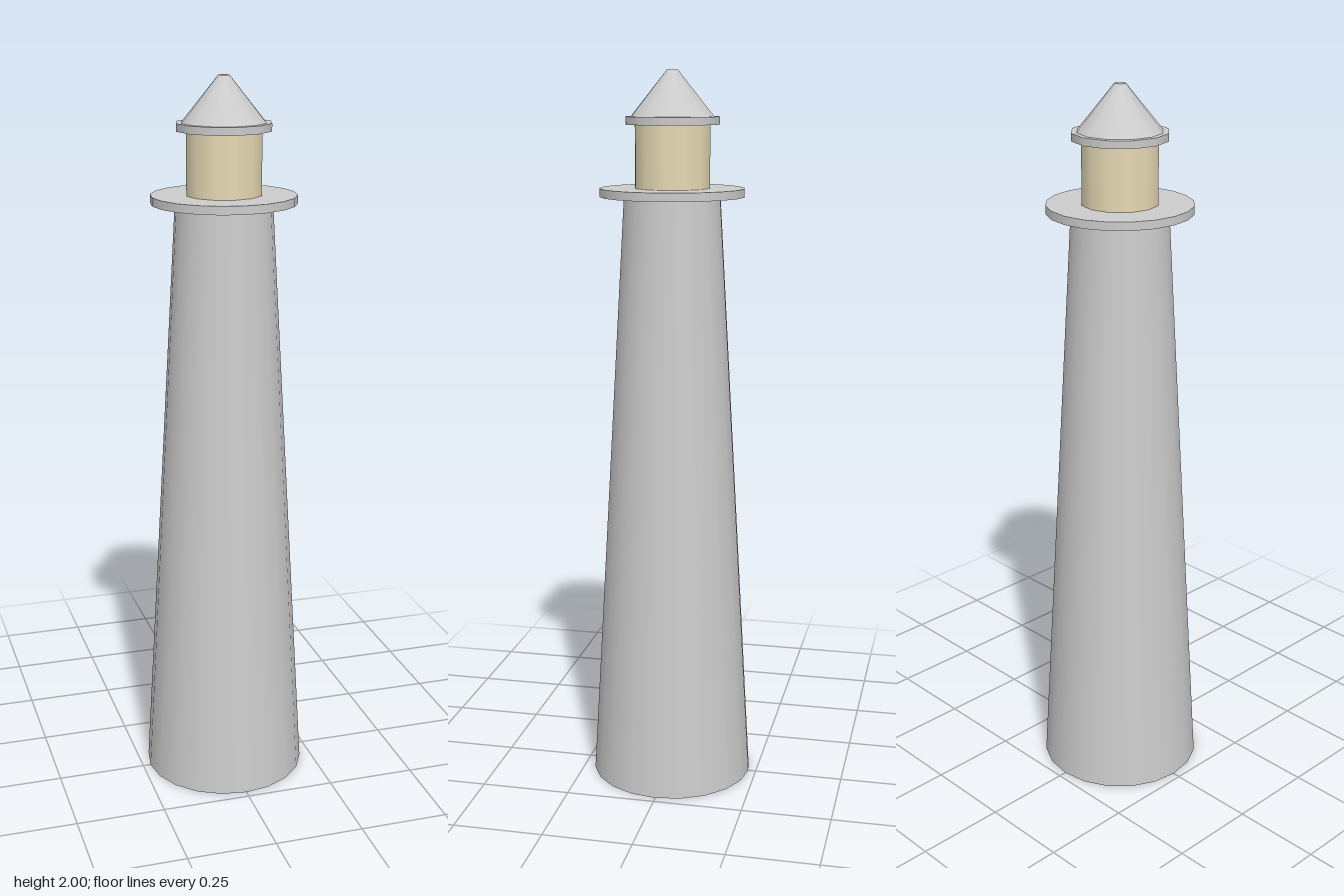
import * as THREE from 'three';

export function createModel() {
  const model = new THREE.Group();
  model.name = 'lighthouse';

  const stone = new THREE.MeshStandardMaterial({ color: 0xcccccc, side: THREE.DoubleSide });
  stone.name = 'grey stone';
  const glass = new THREE.MeshStandardMaterial({ color: 0xe6dab4, side: THREE.DoubleSide });
  glass.name = 'cream lamp glass';

  // One round section standing between two heights
  function section(name, material, y0, y1, rBottom, rTop, sides, open = false) {
    const geometry = new THREE.CylinderGeometry(rTop, rBottom, y1 - y0, sides, 1, open);
    geometry.translate(0, (y0 + y1) / 2, 0);
    const mesh = new THREE.Mesh(geometry, material);
    mesh.name = name;
    model.add(mesh);
  }

  // Hollow tapering tower, open at the foot
  section('tower', stone, 0, 1.665, 0.228, 0.132, 20, true);
  // Walkway around the lamp room
  section('gallery', stone, 1.665, 1.688, 0.198, 0.198, 20);
  // Lamp room
  section('lampRoom', glass, 1.688, 1.857, 0.104, 0.104, 12);
  // Brim and blunt-tipped roof
  section('roofBrim', stone, 1.857, 1.878, 0.13, 0.13, 12);
  section('roof', stone, 1.878, 2, 0.115, 0.015, 12);

  return model;
}
